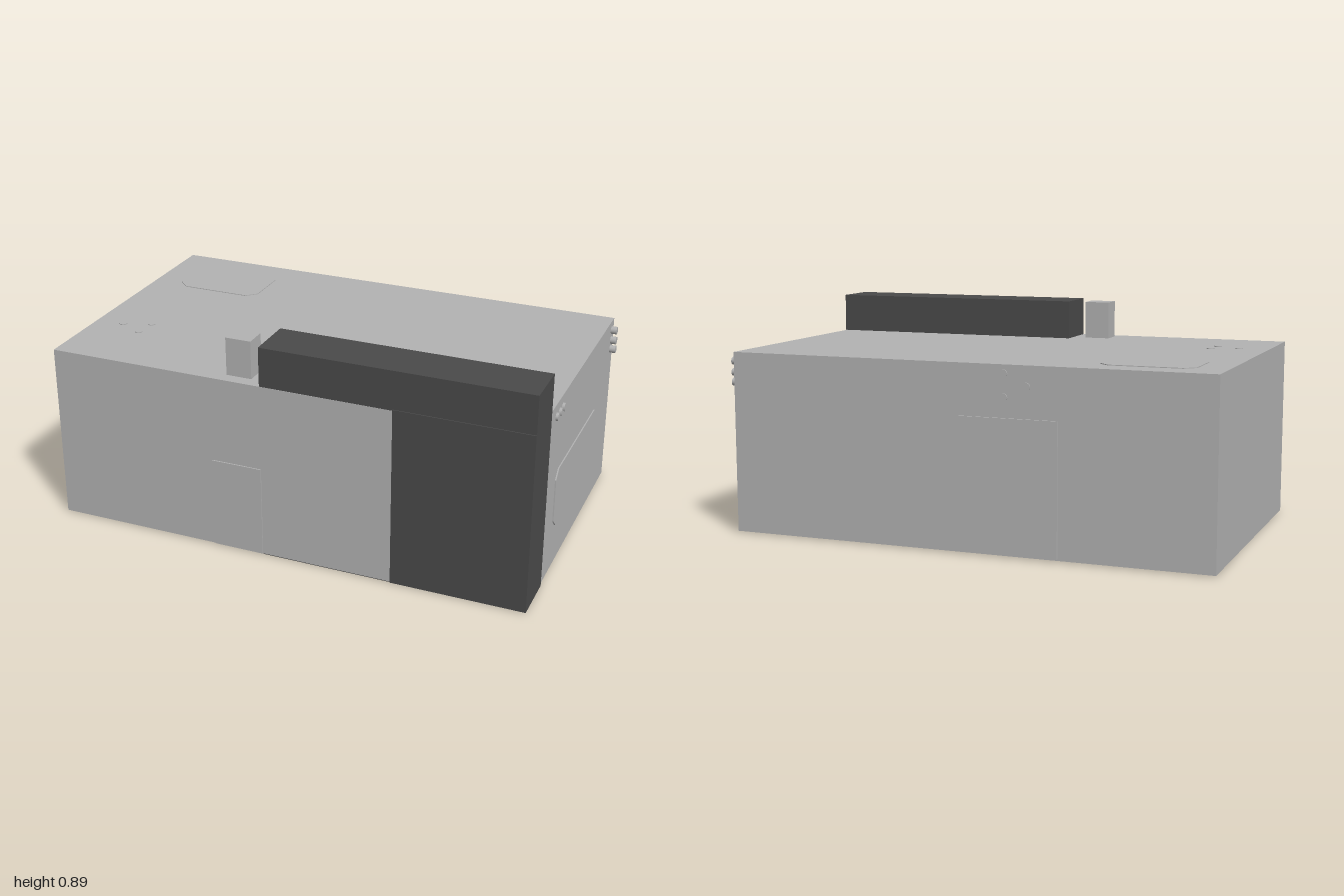
import * as THREE from 'three';

export function createModel() {
  const model = new THREE.Group();
  model.name = 'building';
  const light = new THREE.MeshStandardMaterial({ color: 0xb2b2b2 });
  light.name = 'light grey wall';
  const dark = new THREE.MeshStandardMaterial({ color: 0x4a4a4a });
  dark.name = 'dark grey cladding';

  const add = (name, geometry, material) => {
    const mesh = new THREE.Mesh(geometry, material);
    mesh.name = name;
    model.add(mesh);
    return mesh;
  };
  // Box given by its lower and upper limits on each axis
  const box = (name, [x0, x1], [y0, y1], [z0, z1], material) =>
    add(name, new THREE.BoxGeometry(x1 - x0, y1 - y0, z1 - z0), material)
      .position.set((x0 + x1) / 2, (y0 + y1) / 2, (z0 + z1) / 2);

  // Thin panel with cut corners, standing on the local xy plane
  const panel = (w, h, c, depth) => {
    const a = w / 2, b = h / 2;
    const pts = [[c - a, -b], [a - c, -b], [a, c - b], [a, b - c], [a - c, b], [c - a, b], [-a, b - c], [-a, c - b]];
    const shape = new THREE.Shape(pts.map(([x, y]) => new THREE.Vector2(x, y)));
    return new THREE.ExtrudeGeometry(shape, { depth, bevelEnabled: false });
  };
  // Short round stud along one axis
  const stud = (name, axis, length, x, y, z) => {
    const mesh = add(name, new THREE.CylinderGeometry(0.016, 0.016, length, 12), light);
    if (axis === 'x') mesh.rotation.z = Math.PI / 2;
    if (axis === 'z') mesh.rotation.x = Math.PI / 2;
    mesh.position.set(x, y, z);
  };

  // Main block, dark corner slab, chimney
  box('mainBlock', [-1, 0.976], [0.005, 0.735], [-0.588, 0.59], light);
  box('darkSlab', [-0.1, 0.98], [0.002, 0.895], [0.39, 0.589], dark);
  box('darkFrontCladding', [0.438, 0.98], [0.002, 0.74], [0.588, 0.593], dark);
  box('chimney', [-0.26, -0.155], [0.73, 0.89], [0.45, 0.54], light);

  // Doors
  box('frontDoor', [-0.31, -0.1], [0.006, 0.382], [0.588, 0.595], light);
  box('backDoor', [-0.395, 0.005], [0.01, 0.533], [-0.595, -0.586], light);

  // Side window and roof hatch
  const sideWindow = add('sideWindow', panel(0.62, 0.25, 0.035, 0.006), light);
  sideWindow.rotation.y = Math.PI / 2;
  sideWindow.position.set(0.975, 0.305, -0.05);
  const hatch = add('roofHatch', panel(0.37, 0.26, 0.04, 0.004), light);
  hatch.rotation.x = -Math.PI / 2;
  hatch.position.set(-0.695, 0.734, -0.35);

  // Groups of studs on the roof, side, back and underside
  for (const [x, z] of [[-0.88, 0.25], [-0.78, 0.3], [-0.77, 0.21]]) stud('roofStud', 'y', 0.006, x, 0.735, z);
  for (const y of [0.61, 0.65, 0.695]) stud('sideRearStud', 'x', 0.03, 0.985, y, -0.553);
  for (const z of [0.215, 0.26, 0.305]) stud('sideFrontStud', 'x', 0.014, 0.979, 0.685, z);
  for (const [x, y] of [[-0.18, 0.7], [-0.18, 0.61], [-0.27, 0.655]]) stud('backStud', 'z', 0.008, x, y, -0.589);
  for (const x of [0.06, 0.2]) stud('footStud', 'y', 0.01, x, 0.005, -0.545);

  return model;
}
